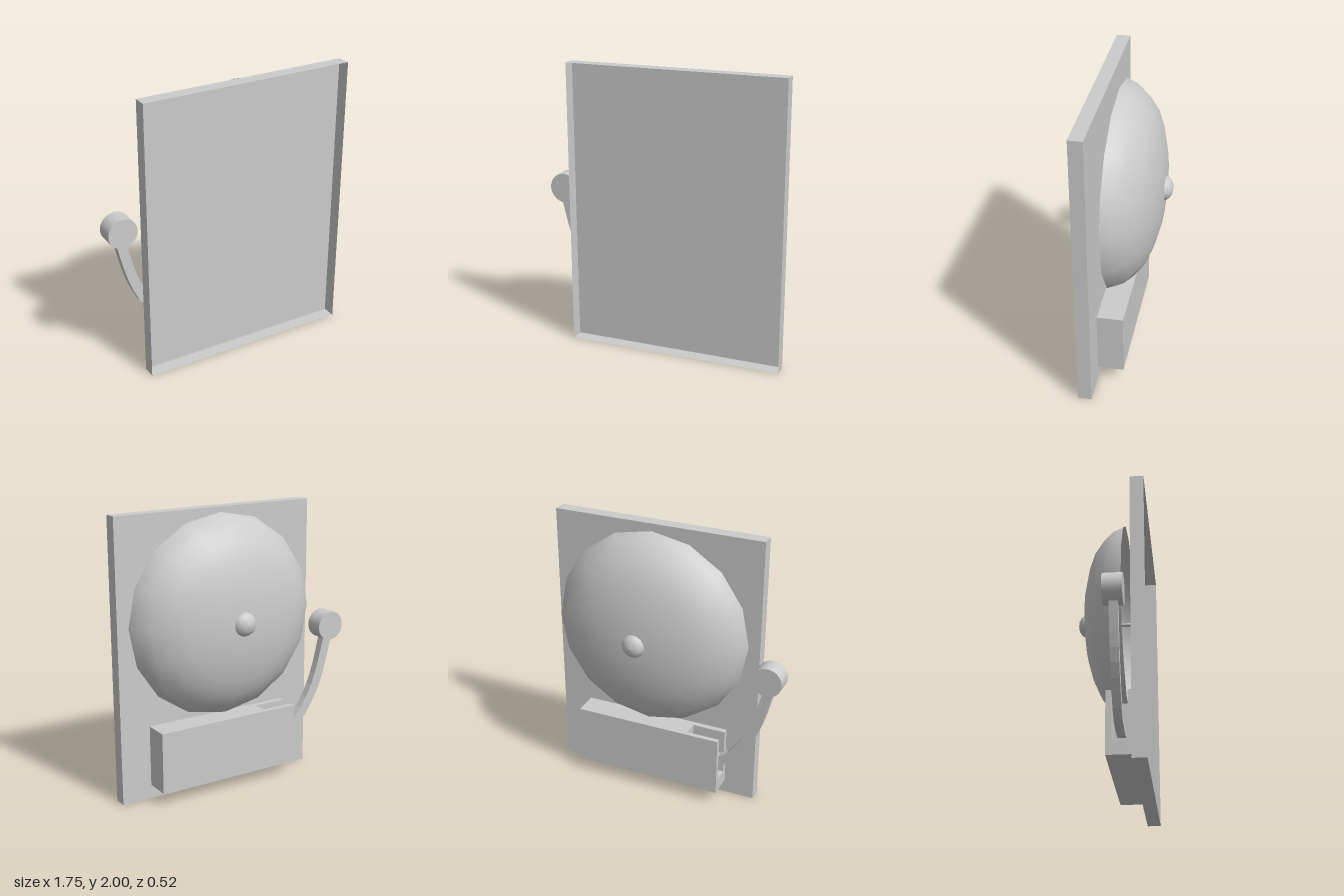
import * as THREE from 'three';

const solid = new THREE.MeshStandardMaterial({ color: 0xcccccc });
const thin = new THREE.MeshStandardMaterial({ color: 0xcccccc, side: THREE.DoubleSide });
const v2 = ([x, y]) => new THREE.Vector2(x, y);

function add(group, name, geometry, x, y, z, material = solid) {
  const mesh = new THREE.Mesh(geometry, material);
  mesh.name = name;
  mesh.position.set(x, y, z);
  group.add(mesh);
  return mesh;
}

// Flat strip of constant width that follows a smooth centre line
function stripShape(points, width, steps) {
  const curve = new THREE.SplineCurve(points.map(v2));
  const left = [], right = [];
  for (let i = 0; i <= steps; i++) {
    const p = curve.getPoint(i / steps), t = curve.getTangent(i / steps);
    const n = new THREE.Vector2(-t.y, t.x).multiplyScalar(width / 2);
    left.push(p.clone().add(n));
    right.unshift(p.clone().sub(n));
  }
  return new THREE.Shape([...left, ...right]);
}

export function createModel() {
  const model = new THREE.Group();
  model.name = 'alarmBell';

  // Mounting board: a shallow tray, open towards +z
  const tray = new THREE.BoxGeometry(1.53, 2, 0.095);
  const index = Array.from(tray.index.array);
  index.splice(24, 6);
  tray.setIndex(index);
  tray.clearGroups();
  add(model, 'mountingBoard', tray, 0.105, 1, 0.2125, thin);

  // Mechanism housing: solid block, plus a slotted end for the arm
  add(model, 'housing', new THREE.BoxGeometry(0.85, 0.435, 0.18), 0.225, 0.3175, 0.075);
  const channel = new THREE.Shape([
    [-0.015, 0.1], [0.165, 0.1], [0.165, 0.535], [0.125, 0.535],
    [0.125, 0.2], [0.02, 0.2], [0.02, 0.535], [-0.015, 0.535],
  ].map(v2));
  const slot = new THREE.ExtrudeGeometry(channel, { depth: 0.24, bevelEnabled: false });
  add(model, 'housingSlot', slot.rotateY(-Math.PI / 2), -0.2, 0, 0);

  // Bell dome, its boss and the post behind it, turned about the z axis
  const bell = new THREE.Group();
  bell.name = 'bell';
  bell.position.set(0.11, 1.265, 0);
  bell.rotation.x = -Math.PI / 2;
  model.add(bell);
  const dome = [
    [0.71, -0.098], [0.683, -0.03], [0.624, 0.037], [0.534, 0.106],
    [0.423, 0.153], [0.28, 0.19], [0.14, 0.208], [0, 0.214],
  ];
  add(bell, 'dome', new THREE.LatheGeometry(dome.map(v2), 16), 0, 0, 0, thin);
  const boss = [[0.085, 0.2], [0.08, 0.218], [0.065, 0.24], [0.038, 0.256], [0, 0.262]];
  add(bell, 'boss', new THREE.LatheGeometry(boss.map(v2), 16), 0, 0, 0, thin);
  add(bell, 'post', new THREE.CylinderGeometry(0.013, 0.013, 0.38, 12), 0, 0.022, 0);

  // Striker arm curving out of the slot up to the hammer
  const arm = stripShape([
    [-0.2, 0.33], [-0.44, 0.345], [-0.57, 0.46], [-0.665, 0.625], [-0.725, 0.8], [-0.78, 1.03],
  ], 0.07, 10);
  add(model, 'strikerArm',
    new THREE.ExtrudeGeometry(arm, { depth: 0.057, bevelEnabled: false }), 0, 0, 0.04);
  const hammer = new THREE.CylinderGeometry(0.105, 0.105, 0.13, 32).rotateX(Math.PI / 2);
  add(model, 'hammer', hammer, -0.77, 1.08, 0.065);

  return model;
}
